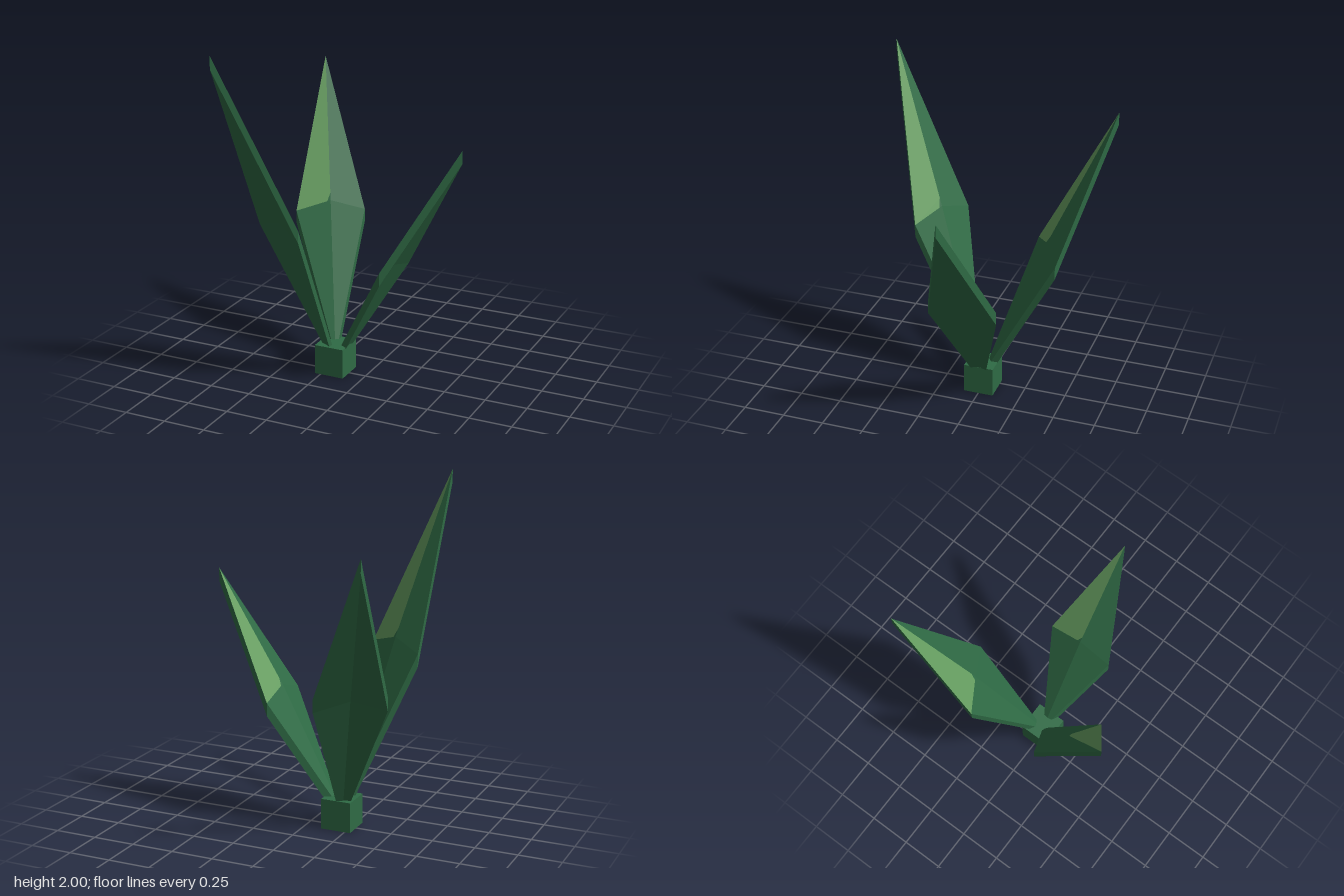
import * as THREE from 'three';

const green = new THREE.MeshStandardMaterial({ color: 0x2f6b45, flatShading: true });
green.name = 'leafGreen';
const lightGreen = new THREE.MeshStandardMaterial({ color: 0x669e60, flatShading: true });
lightGreen.name = 'lightGreen';

const STEM = 0.18, BASE_Y = 0.09, THICK = 0.077;

// Kite-shaped blade pointing along +x, with a raised ridge and a constant vertical thickness
function leafGeometry(tipY) {
  const midY = BASE_Y + (tipY - BASE_Y) * 0.481;
  const base = new THREE.Vector3(0, BASE_Y, 0);
  const left = new THREE.Vector3(0.375, midY, -0.204);
  const right = new THREE.Vector3(0.375, midY, 0.204);
  const ridge = new THREE.Vector3(0.375, midY + 0.06, 0);
  const tip = new THREE.Vector3(0.775, tipY, 0);
  const down = (p) => new THREE.Vector3(p.x, p.y - THICK, p.z);

  // Small clipped corner where the pale panel meets the ridge
  const a = ridge.clone().lerp(left, 0.1);
  const b = ridge.clone().lerp(tip, 0.05);

  const dark = [];
  dark.push([base, ridge, left], [base, right, ridge], [ridge, right, tip], [ridge, b, a]);
  // Underside, following the upper surface
  for (const [p, q, r] of [[base, ridge, left], [base, right, ridge], [ridge, right, tip], [ridge, tip, left]]) {
    dark.push([down(r), down(q), down(p)]);
  }
  // Rim
  const rim = [base, right, tip, left];
  rim.forEach((p, i) => {
    const q = rim[(i + 1) % rim.length];
    dark.push([down(p), down(q), q], [down(p), q, p]);
  });
  // Pale panel on one half of the outer blade
  const pale = [[a, b, left], [b, tip, left]];

  const geo = new THREE.BufferGeometry().setFromPoints([...dark, ...pale].flat());
  geo.addGroup(0, dark.length * 3, 0);
  geo.addGroup(dark.length * 3, pale.length * 3, 1);
  geo.computeVertexNormals();
  return geo;
}

export function createModel() {
  const model = new THREE.Group();
  model.name = 'plant';

  const plant = new THREE.Group();
  plant.name = 'sprout';
  plant.position.x = -0.195;
  model.add(plant);

  // Square stem
  const stem = new THREE.Mesh(new THREE.BoxGeometry(STEM, STEM, STEM), green);
  stem.name = 'stem';
  stem.position.y = STEM / 2;
  plant.add(stem);

  // Three leaves of rising height, a third of a turn apart
  const leaves = [['shortLeaf', 1.45, 0], ['middleLeaf', 1.72, 1], ['tallLeaf', 2.0, 2]];
  for (const [name, tipY, turn] of leaves) {
    const leaf = new THREE.Mesh(leafGeometry(tipY), [green, lightGreen]);
    leaf.name = name;
    leaf.rotation.y = turn * Math.PI * 2 / 3;
    plant.add(leaf);
  }
  return model;
}
